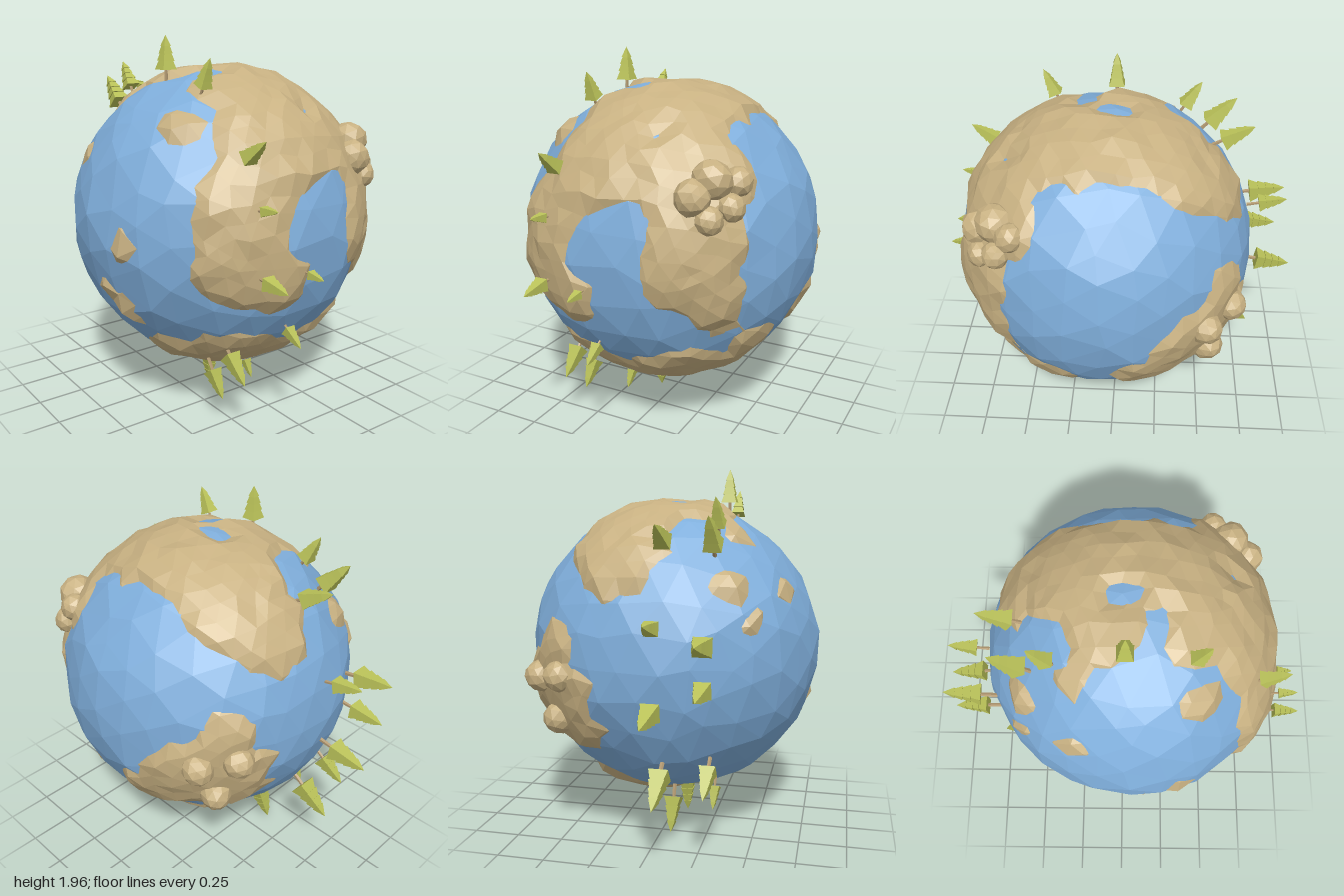
import * as THREE from 'three';

const CENTRE = new THREE.Vector3(0.05, 1.0, 0.01);
const R = 0.8;
const mat = (color) => new THREE.MeshStandardMaterial({ color, flatShading: true });
const V = (x, y, z) => new THREE.Vector3(x, y, z);

// Continents: direction from the centre, then angular radius
const LAND = [
  // northern continent
  [-0.35, 0.65, -0.2, 0.38], [0.05, 0.78, -0.25, 0.36], [-0.55, 0.5, -0.15, 0.28], [-0.15, 0.75, 0.12, 0.28],
  [0.4, 0.65, -0.1, 0.45], [0.55, 0.5, -0.35, 0.4], [0.6, 0.5, 0.1, 0.35], [0.3, 0.7, 0.18, 0.22],
  // eastern lobes
  [0.72, -0.05, 0.38, 0.28], [0.7, 0.2, 0.35, 0.28], [0.72, -0.2, 0.2, 0.2],
  [0.65, 0.15, -0.45, 0.32], [0.7, 0, -0.35, 0.18], [0.58, -0.15, -0.55, 0.17],
  // southern continent
  [0.33, -0.69, -0.23, 0.45], [0.26, -0.49, -0.57, 0.2], [0.45, -0.6, 0.25, 0.28],
  [0.2, -0.66, 0.38, 0.24], [-0.14, -0.75, -0.2, 0.35],
  // western continent
  [-0.55, -0.2, -0.5, 0.38], [-0.3, -0.35, -0.65, 0.28], [-0.6, 0.08, -0.45, 0.18],
  // islands
  [0.25, -0.02, 0.77, 0.1], [0.2, -0.38, 0.68, 0.1], [-0.32, 0.35, 0.66, 0.08], [-0.58, 0.37, 0.4, 0.1],
  [-0.58, 0.2, 0.5, 0.07], [0.35, 0.55, 0.45, 0.13], [0.05, -0.3, 0.74, 0.08], [-0.3, 0.62, 0.35, 0.12],
].map(([x, y, z, r]) => ({ dir: V(x, y, z).normalize(), r }));

const LAKES = [
  [-0.05, 0.78, 0.0, 0.12], [0.48, 0.62, -0.2, 0.1], [0.0, 0.6, -0.5, 0.1], [0.78, 0.12, 0.02, 0.17],
].map(([x, y, z, r]) => ({ dir: V(x, y, z).normalize(), r }));

// Smooth repeatable bumps on the unit sphere, about -1..1
const bumps = (p, f, s) =>
  (Math.sin(p.x * f + s + 2 * Math.sin(p.y * f * 0.8)) +
   Math.sin(p.y * f * 1.1 + s * 2 + 2 * Math.sin(p.z * f * 0.9)) +
   Math.sin(p.z * f * 0.95 + s * 3 + 2 * Math.sin(p.x * f * 0.7))) / 3;

// Faceted sphere whose corners are shifted sideways and set to radius(dir)
function facetedSphere(detail, jitter, radius) {
  const geo = new THREE.IcosahedronGeometry(1, detail);
  const pos = geo.attributes.position;
  const p = V(0, 0, 0);
  for (let i = 0; i < pos.count; i++) {
    p.fromBufferAttribute(pos, i);
    const shift = V(bumps(p, 17, 1), bumps(p, 17, 2), bumps(p, 17, 3));
    p.addScaledVector(shift, jitter).normalize();
    p.multiplyScalar(radius(p));
    pos.setXYZ(i, p.x, p.y, p.z);
  }
  geo.computeVertexNormals();
  return geo;
}

// Terrain radius: sinks below the water away from the continents
function terrain(p) {
  let inside = -1;
  for (const c of LAND) inside = Math.max(inside, c.r - p.angleTo(c.dir));
  for (const c of LAKES) inside = Math.min(inside, p.angleTo(c.dir) - c.r);
  inside += 0.05 * bumps(p, 13, 4);
  return R + THREE.MathUtils.clamp(inside * 0.4, -0.05, 0.018) + 0.012 * bumps(p, 22, 5);
}

// Tree growing along +y with height 1
function makeTree(parts) {
  const tree = new THREE.Group();
  tree.name = 'tree';
  const trunk = new THREE.Mesh(parts.trunk, parts.bark);
  trunk.name = 'trunk';
  trunk.position.y = 0.12;
  tree.add(trunk);
  parts.tiers.forEach((tier, i) => {
    const m = new THREE.Mesh(tier.geo, parts.leaf);
    m.name = 'foliageTier' + (i + 1);
    m.position.y = tier.y;
    m.rotation.y = Math.PI / 4;
    tree.add(m);
  });
  return tree;
}

export function createModel() {
  const model = new THREE.Group();
  model.name = 'tinyPlanet';

  const planet = new THREE.Group();
  planet.name = 'planet';
  planet.position.copy(CENTRE);
  model.add(planet);

  const ocean = new THREE.Mesh(facetedSphere(4, 0.07, (p) => R - 0.002 + 0.012 * bumps(p, 9, 6)), mat(0x7faedb));
  ocean.name = 'ocean';
  planet.add(ocean);

  const landMat = mat(0xc8b182);
  const land = new THREE.Mesh(facetedSphere(9, 0.035, terrain), landMat);
  land.name = 'land';
  planet.add(land);

  // Boulders half sunk into the land: direction, then size
  const rockGeo = facetedSphere(1, 0.08, (p) => 1 + 0.08 * bumps(p, 4, 2));
  const rocks = [
    [0.6, 0.35, -0.41, 0.09], [0.52, 0.43, -0.48, 0.1], [0.44, 0.42, -0.58, 0.075], [0.59, 0.25, -0.49, 0.07],
    [0.5, 0.3, -0.56, 0.07], [-0.53, -0.1, -0.59, 0.085], [-0.66, -0.07, -0.445, 0.08], [-0.55, -0.31, -0.49, 0.085],
  ];
  rocks.forEach(([x, y, z, size], i) => {
    const rock = new THREE.Mesh(rockGeo, landMat);
    rock.name = 'boulder';
    rock.position.copy(V(x, y, z).setLength(R + 0.01));
    rock.scale.setScalar(size);
    rock.rotation.set(i, i * 2, i * 3);
    planet.add(rock);
  });

  // Shared tree parts: four-sided tiers that narrow toward the tip
  const tierShapes = [[0.25, 0.52, 0.25, 0.13], [0.44, 0.68, 0.2, 0.1], [0.6, 0.83, 0.16, 0.07], [0.76, 1.0, 0.12, 0]];
  const parts = {
    bark: mat(0xb39a72),
    leaf: mat(0xb9c158),
    trunk: new THREE.CylinderGeometry(0.035, 0.045, 0.4, 5),
    tiers: tierShapes.map(([y0, y1, r0, r1]) => ({
      geo: new THREE.CylinderGeometry(r1, r0, y1 - y0, 4),
      y: (y0 + y1) / 2,
    })),
  };

  // Two rings of trees: base x, y, tip x, y, ring z
  const A = 0.315, B = 0.08;
  const trees = [
    [0.01, 1.73, 0.01, 1.96, A], [0.32, 1.68, 0.4, 1.86, A], [0.65, 1.4, 0.82, 1.52, A], [0.78, 1.2, 0.91, 1.22, A],
    [0.8, 0.88, 0.99, 0.86, A], [0.85, 0.88, 0.97, 0.87, B], [0.7, 0.57, 0.83, 0.48, B], [0.53, 0.45, 0.69, 0.29, A],
    [0.39, 0.31, 0.51, 0.14, A], [0.38, 0.28, 0.45, 0.17, B], [0.06, 0.25, 0.06, 0, B], [-0.29, 0.28, -0.39, 0.05, B],
    [-0.36, 0.36, -0.44, 0.22, A], [-0.57, 0.5, -0.8, 0.33, B], [-0.54, 0.52, -0.73, 0.38, A],
    [-0.74, 0.83, -1, 0.79, B], [-0.69, 0.93, -0.93, 0.91, A], [-0.69, 1.12, -0.955, 1.16, A],
    [-0.73, 1.2, -0.93, 1.24, B], [-0.5, 1.57, -0.71, 1.68, B], [-0.45, 1.53, -0.63, 1.72, A],
    [-0.33, 1.63, -0.44, 1.81, A],
  ];
  for (const [x0, y0, x1, y1, z] of trees) {
    const tree = makeTree(parts);
    tree.position.set(x0, y0, z);
    tree.rotation.z = Math.atan2(x0 - x1, y1 - y0);
    tree.scale.setScalar(Math.hypot(x1 - x0, y1 - y0));
    model.add(tree);
  }
  return model;
}
